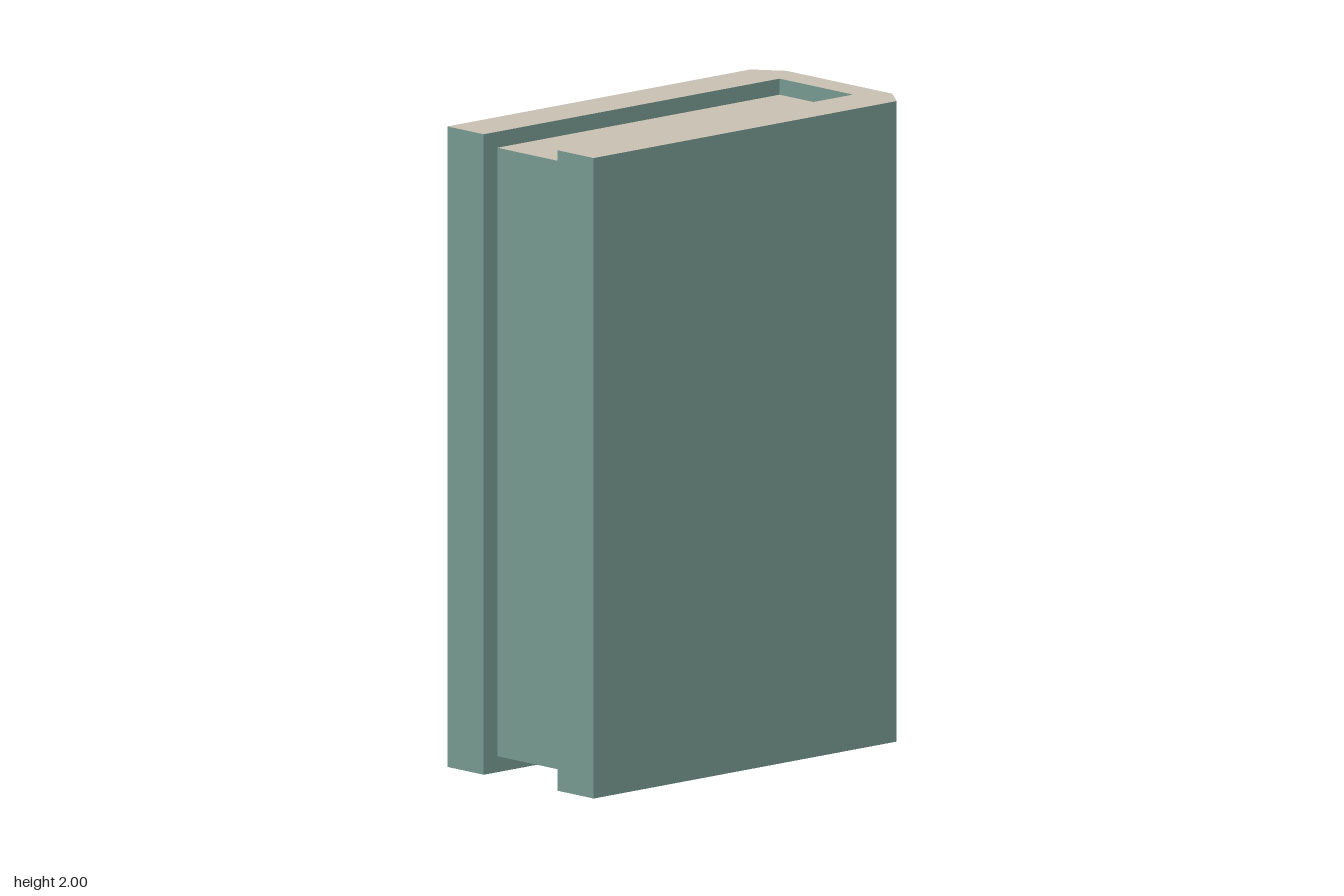
import * as THREE from 'three';

const green = new THREE.MeshStandardMaterial({ color: 0x789c93 });
green.name = 'muted green';
const cream = new THREE.MeshStandardMaterial({ color: 0xcbc3b4 });
cream.name = 'warm cream';

// Upright prism from an (x, z) outline: cream top, green bottom and sides
function prism(name, outline, bottom, top) {
  const shape = new THREE.Shape(outline.map(([x, z]) => new THREE.Vector2(x, -z)));
  const geometry = new THREE.ExtrudeGeometry(shape, { depth: top - bottom, bevelEnabled: false });
  geometry.rotateX(-Math.PI / 2).translate(0, bottom, 0);

  // The caps come first in the geometry: bottom half, then top half
  const cap = geometry.groups[0].count / 2;
  const total = geometry.attributes.position.count;
  geometry.clearGroups();
  geometry.addGroup(0, cap, 0);
  geometry.addGroup(cap, cap, 1);
  geometry.addGroup(2 * cap, total - 2 * cap, 0);

  const mesh = new THREE.Mesh(geometry, [green, cream]);
  mesh.name = name;
  return mesh;
}

export function createModel() {
  const model = new THREE.Group();
  model.name = 'book';

  const outer = 0.328, inner = 0.165; // half thickness outside and inside the cover
  const foreEdge = -0.667, spine = 0.667, spineInner = 0.57;

  // Cover: two thick boards joined by a spine with bevelled corners
  const half = [[foreEdge, inner], [foreEdge, outer], [0.6, outer], [spine, 0.237]];
  const mirrored = half.map(([x, z]) => [x, -z]).reverse();
  model.add(prism('cover', [
    ...half, ...mirrored, [spineInner, -inner], [spineInner, inner],
  ], 0, 2));

  // Page block: set in from the top, bottom and fore edge
  model.add(prism('pages', [
    [-0.61, inner], [spineInner, inner], [spineInner, -inner], [-0.61, -inner],
  ], 0.05, 1.95));

  return model;
}
